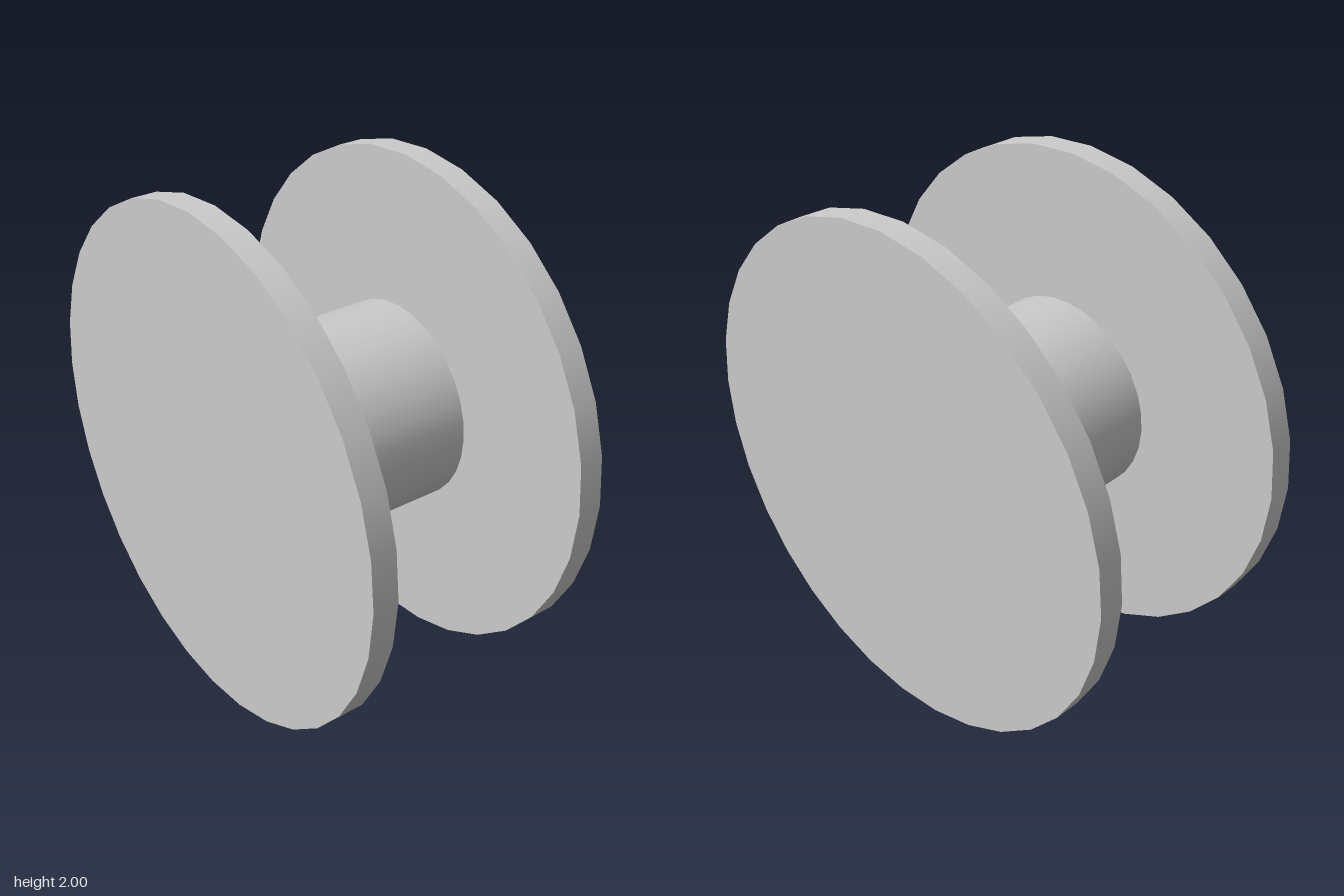
import * as THREE from 'three';

export function createModel() {
  const group = new THREE.Group();
  const material = new THREE.MeshStandardMaterial({ color: 0xcccccc });

  // Solid disc or drum lying along the x axis
  function addDrum(name, radius, width, x) {
    const geometry = new THREE.CylinderGeometry(radius, radius, width, 32);
    geometry.rotateZ(Math.PI / 2);
    const mesh = new THREE.Mesh(geometry, material);
    mesh.name = name;
    mesh.position.set(x, 1, 0);
    group.add(mesh);
  }

  // Core between two wide flanges
  addDrum('core', 0.4, 0.8, 0);
  addDrum('leftFlange', 1, 0.1, 0.45);
  addDrum('rightFlange', 1, 0.1, -0.45);

  return group;
}
